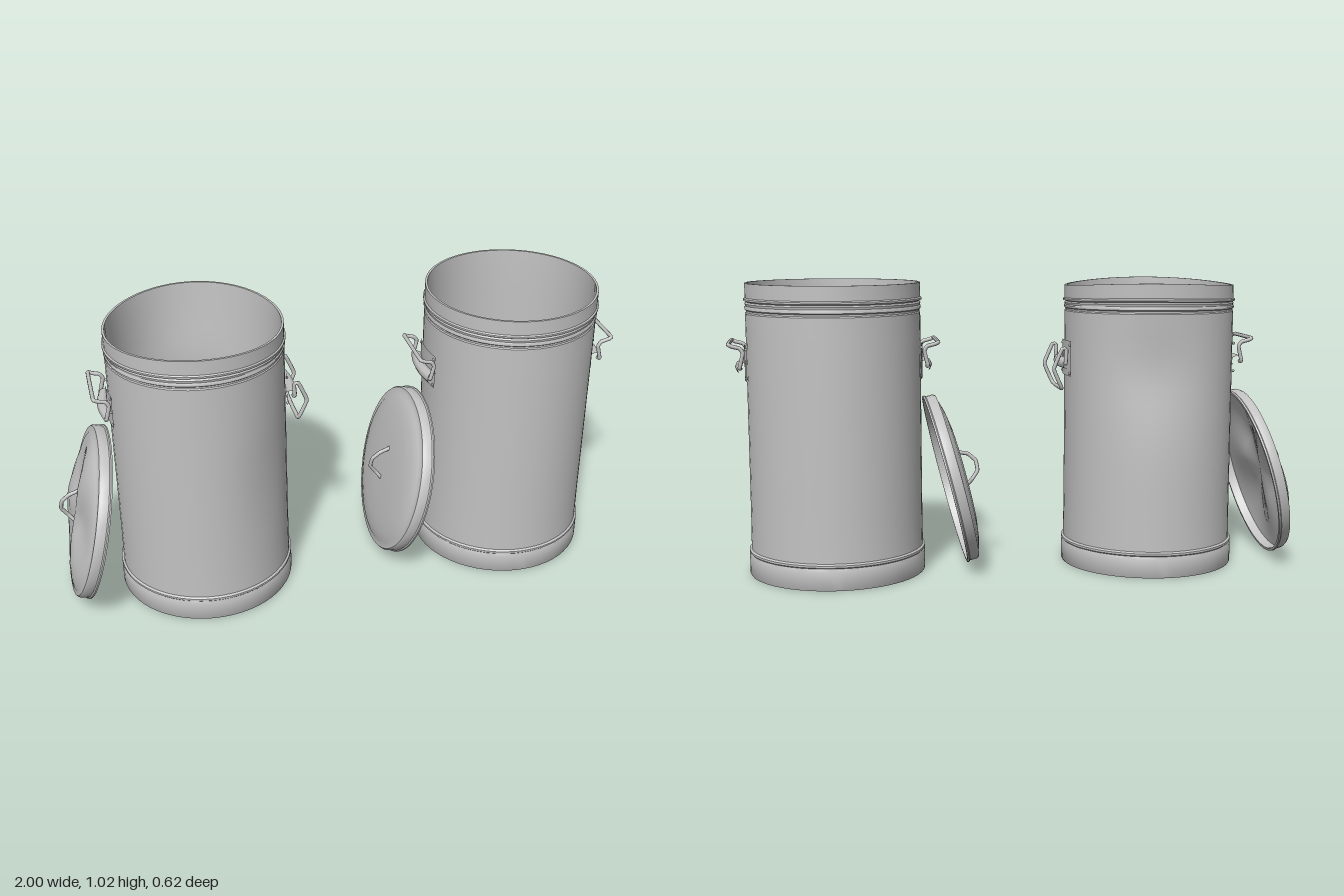
import * as THREE from 'three';
import { toCreasedNormals } from 'three/addons/utils/BufferGeometryUtils.js';

const metal = new THREE.MeshStandardMaterial({ color: 0xc2c2c2 });
metal.name = 'galvanized grey';

function add(parent, geometry, name) {
  const mesh = new THREE.Mesh(geometry, metal);
  mesh.name = name;
  parent.add(mesh);
  return mesh;
}

// Lathe a profile, optionally push its vertices about, keep hard edges sharp
function turned(points, warp) {
  const geo = new THREE.LatheGeometry(points.map(p => new THREE.Vector2(p[0], p[1])), 56);
  if (warp) {
    const pos = geo.attributes.position, v = new THREE.Vector3();
    for (let i = 0; i < pos.count; i++) {
      v.fromBufferAttribute(pos, i);
      warp(v);
      pos.setXYZ(i, v.x, v.y, v.z);
    }
  }
  return toCreasedNormals(geo, 0.6);
}

// Bent round wire through a few points
function wire(points, radius) {
  const curve = new THREE.CatmullRomCurve3(points.map(p => new THREE.Vector3(...p)), false, 'catmullrom', 0.15);
  return new THREE.TubeGeometry(curve, 72, radius, 8, false);
}

// Dents for the battered can: a hollow at the back, a wavy mouth
function dentBody(v) {
  const a = Math.atan2(v.z, v.x), r = Math.hypot(v.x, v.z);
  if (r < 0.25) return;
  const back = Math.exp(-(((a + 1.45) / 0.5) ** 2) - ((v.y - 0.72) / 0.17) ** 2);
  const side = Math.exp(-(((a - 0.9) / 0.4) ** 2) - ((v.y - 0.45) / 0.2) ** 2);
  const top = THREE.MathUtils.smoothstep(v.y, 0.88, 1.02);
  const k = 1 - (0.024 * back + 0.008 * side) / r;
  v.x *= k;
  v.z *= k;
  v.y -= top * (0.008 + 0.008 * Math.sin(2 * a + 1.2));
}

// Dents for the battered lid
function dentLid(v) {
  const a = Math.atan2(v.z, v.x), r = Math.hypot(v.x, v.z);
  v.y += 0.012 * Math.sin(3 * a + 0.6) * Math.sin(Math.min(1, r / 0.3) * Math.PI);
}

function makeHandle(hanging) {
  const g = new THREE.Group();
  g.name = 'sideHandle';
  // Curved backing plate
  const plate = new THREE.CylinderGeometry(0.308, 0.308, 0.125, 10, 1, true, Math.PI / 2 - 0.265, 0.53);
  plate.translate(0, 0.7475, 0);
  add(g, plate, 'handlePlate');
  // Rolled sleeve that holds the wire
  const arc = [];
  for (let i = 0; i <= 8; i++) {
    const a = -0.28 + 0.07 * i;
    arc.push([0.318 * Math.cos(a) + 0.003, 0.732, 0.318 * Math.sin(a)]);
  }
  add(g, wire(arc, 0.02), 'handleSleeve');
  // Wire bail, swung up or hanging down
  const half = hanging
    ? [[0.318, 0.732, 0.085], [0.32, 0.735, 0.1], [0.318, 0.785, 0.101], [0.333, 0.785, 0.101], [0.362, 0.715, 0.1], [0.332, 0.645, 0.09]]
    : [[0.318, 0.732, 0.085], [0.32, 0.735, 0.1], [0.308, 0.785, 0.101], [0.318, 0.802, 0.101], [0.345, 0.809, 0.101], [0.357, 0.815, 0.096]];
  const mirrored = half.map(([x, y, z]) => [x, y, -z]).reverse();
  add(g, wire([...half, ...mirrored], 0.007), 'handleBail');
  // Rivets
  for (const y of [0.695, 0.795]) for (const a of [-0.23, 0.23]) {
    const rivet = add(g, new THREE.SphereGeometry(0.005, 8, 6), 'rivet');
    rivet.position.set(0.308 * Math.cos(a), y, 0.308 * Math.sin(a));
  }
  return g;
}

function makeLid(battered) {
  const lid = new THREE.Group();
  lid.name = 'lid';
  // Underside, rim and dome as one closed shell
  add(lid, turned([
    [0, 0.052], [0.12, 0.05], [0.2, 0.045], [0.27, 0.036], [0.296, 0.032],
    [0.298, 0], [0.308, 0], [0.309, 0.006], [0.305, 0.01], [0.305, 0.036],
    [0.3, 0.044], [0.283, 0.045], [0.275, 0.05], [0.24, 0.06], [0.19, 0.068], [0.1, 0.072], [0, 0.073],
  ], battered ? dentLid : null), 'lidShell');
  add(lid, wire([
    [0.085, 0.066, 0], [0.075, 0.085, 0.004], [0.065, 0.105, 0.008], [0.035, 0.125, 0.004],
    [0, 0.122, -0.004], [-0.025, 0.095, -0.008], [-0.045, 0.068, 0],
  ], 0.007), 'lidHandle');
  // Leaning against the can
  lid.position.set(-0.384, 0.313, 0);
  lid.rotation.z = 1.326;
  return lid;
}

function makeCan(battered) {
  const can = new THREE.Group();
  can.name = battered ? 'dentedCan' : 'can';
  // Wall rows are spaced so that the dents stay smooth
  const rows = [0.2, 0.3, 0.4, 0.5, 0.6, 0.66, 0.72, 0.78, 0.84];
  const outer = rows.map(y => [0.302, y]);
  const inner = rows.map(y => [0.292, y]).reverse();
  add(can, turned([
    [0, 0], [0.308, 0], [0.31, 0.004], [0.31, 0.066], [0.306, 0.076],
    [0.31, 0.08], [0.31, 0.087], [0.303, 0.092],
    ...outer,
    [0.302, 0.916], [0.299, 0.92], [0.299, 0.926], [0.304, 0.93], [0.304, 0.937],
    [0.301, 0.942], [0.303, 0.95], [0.298, 0.955], [0.307, 0.96], [0.307, 0.966],
    [0.302, 0.97], [0.302, 1.02], [0.294, 1.02], [0.292, 0.95],
    ...inner,
    [0.292, 0.02], [0, 0.02],
  ], battered ? dentBody : null), 'canBody');
  // Opposite handles
  const left = makeHandle(battered);
  const right = makeHandle(false);
  right.rotation.y = Math.PI;
  can.add(left, right, makeLid(battered));
  return can;
}

export function createModel() {
  const model = new THREE.Group();
  model.name = 'trashCans';
  const dented = makeCan(true);
  dented.position.x = -0.49;
  const clean = makeCan(false);
  clean.position.x = 0.635;
  model.add(dented, clean);
  return model;
}
